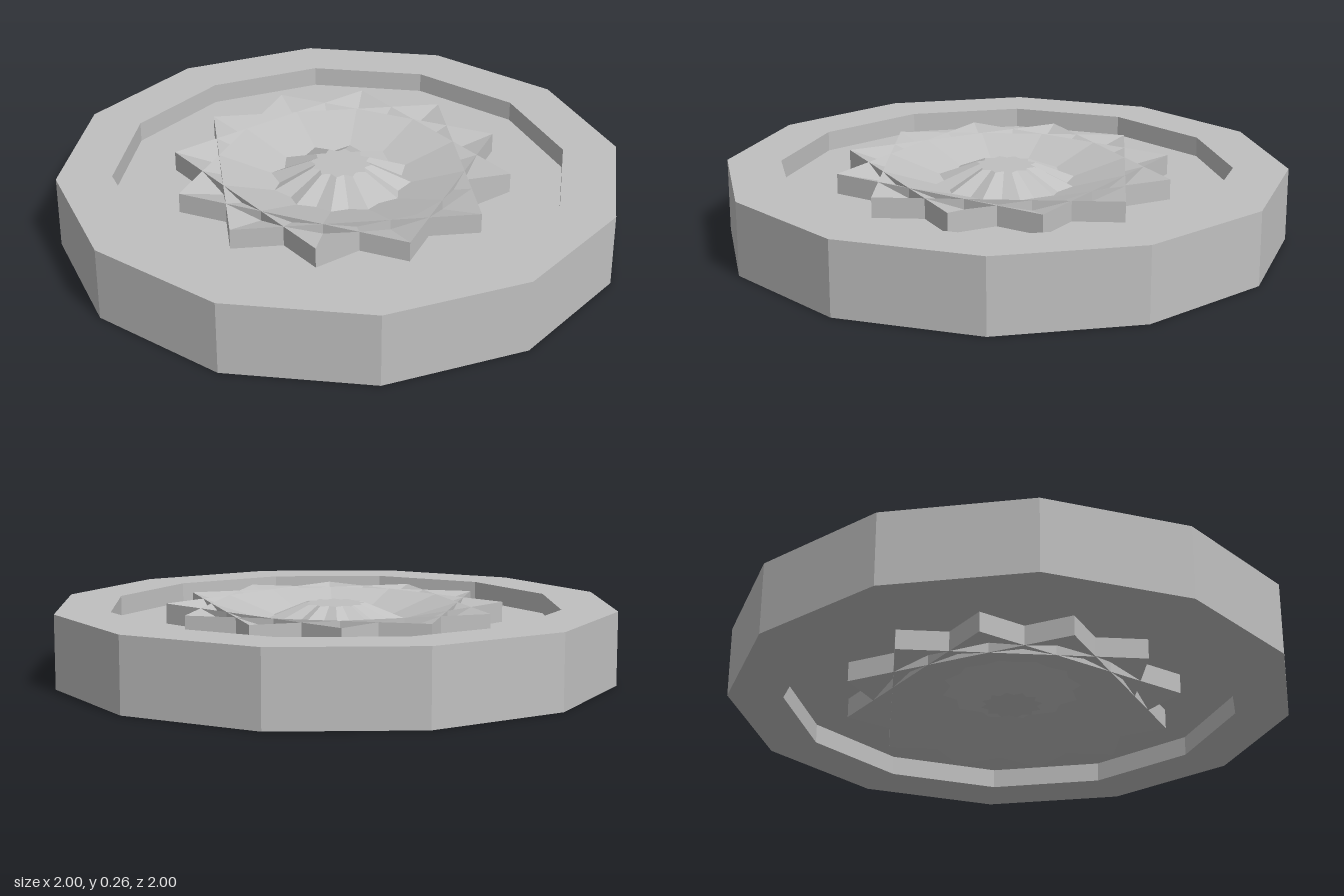
import * as THREE from 'three';

const HEIGHT = 0.26;
const RECESS = 0.072; // depth of the recess on either face

// Solid of revolution, symmetric top to bottom; half = [radius, depth below the face] from the axis outwards
function mirroredLathe(half, sides, turn) {
  const bottom = half.map(([r, d]) => new THREE.Vector2(r, d));
  const top = half.map(([r, d]) => new THREE.Vector2(r, HEIGHT - d)).reverse();
  return new THREE.LatheGeometry([...bottom, ...top], sides, turn);
}

export function createModel() {
  const model = new THREE.Group();
  model.name = 'roundMedallion';
  const grey = new THREE.MeshStandardMaterial({ color: 0xc0c0c0, flatShading: true });
  grey.name = 'light grey';

  // Twelve-sided rim with a recessed web on both faces
  const rim = new THREE.Mesh(
    mirroredLathe([[0, RECESS], [0.805, RECESS], [0.805, 0], [1, 0]], 12, 0),
    grey
  );
  rim.name = 'rimAndWeb';
  model.add(rim);

  // Three square dishes with a raised centre, turned to form a twelve-pointed star
  const star = new THREE.Group();
  star.name = 'star';
  const dish = [[0, 0], [0.11, 0], [0.283, RECESS], [0.6, 0]];
  for (let i = 0; i < 3; i++) {
    const square = new THREE.Mesh(mirroredLathe(dish, 4, Math.PI / 4 + (i * Math.PI) / 6), grey);
    square.name = `squareDish${i + 1}`;
    star.add(square);
  }
  model.add(star);

  return model;
}
